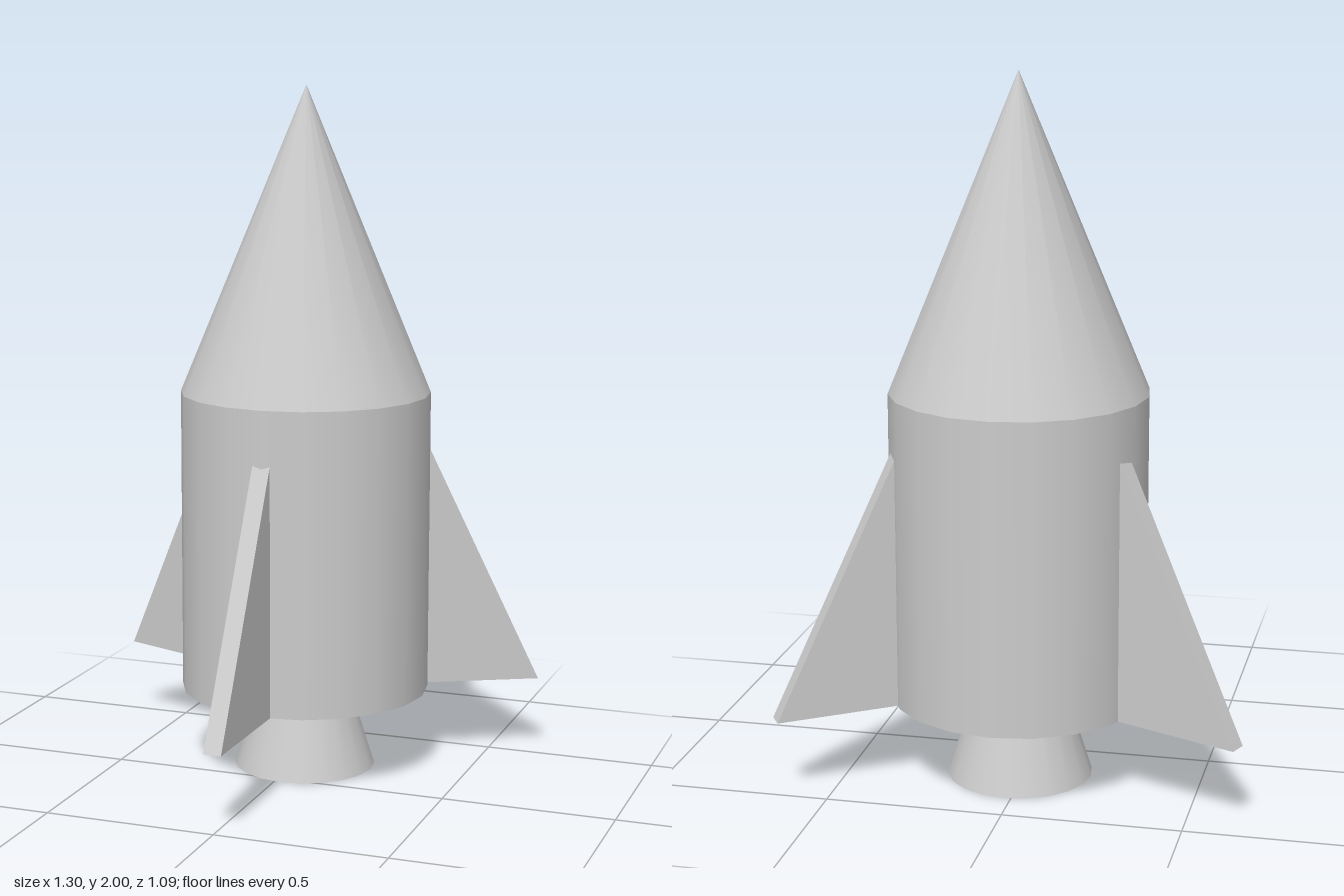
import * as THREE from 'three';

const material = new THREE.MeshStandardMaterial({ color: 0xcccccc });
const SIDES = 20;
const AXIS = { x: 0.02, z: -0.18 };

function addMesh(group, name, geometry) {
  const mesh = new THREE.Mesh(geometry, material);
  mesh.name = name;
  group.add(mesh);
  return mesh;
}

// Round section of the rocket between two heights
function addSection(group, name, topRadius, bottomRadius, y0, y1) {
  const mesh = addMesh(group, name,
    new THREE.CylinderGeometry(topRadius, bottomRadius, y1 - y0, SIDES));
  mesh.position.set(AXIS.x, (y0 + y1) / 2, AXIS.z);
}

// Triangular fin from its root on the hull [x, z] to its outer tip [x, z]
function addFin(group, name, root, tip, apexY, tipY) {
  const thickness = 0.052, inset = 0.01;
  const dx = tip[0] - root[0], dz = tip[1] - root[1];
  const length = Math.hypot(dx, dz);
  const apex = apexY + inset * (apexY - tipY) / length;
  const shape = new THREE.Shape([
    new THREE.Vector2(-inset, 0.24),
    new THREE.Vector2(length, tipY),
    new THREE.Vector2(-inset, apex),
  ]);
  const geometry = new THREE.ExtrudeGeometry(shape, { depth: thickness, bevelEnabled: false });
  geometry.translate(0, 0, -thickness / 2);
  const fin = addMesh(group, name, geometry);
  fin.position.set(root[0], 0, root[1]);
  fin.rotation.y = Math.atan2(-dz, dx);
}

export function createModel() {
  const rocket = new THREE.Group();
  rocket.name = 'rocket';

  // Hull, nose and engine
  addSection(rocket, 'body', 0.363, 0.363, 0.24, 1.12);
  addSection(rocket, 'noseCone', 0, 0.363, 1.12, 2);
  addSection(rocket, 'nozzle', 0.13, 0.207, 0, 0.245);

  // Three slightly uneven fins
  addFin(rocket, 'frontFin', [0.018, 0.183], [0.015, 0.542], 0.955, 0.24);
  addFin(rocket, 'leftFin', [0.342, -0.342], [0.635, -0.525], 0.95, 0.232);
  addFin(rocket, 'rightFin', [-0.312, -0.33], [-0.643, -0.467], 0.96, 0.236);

  return rocket;
}
